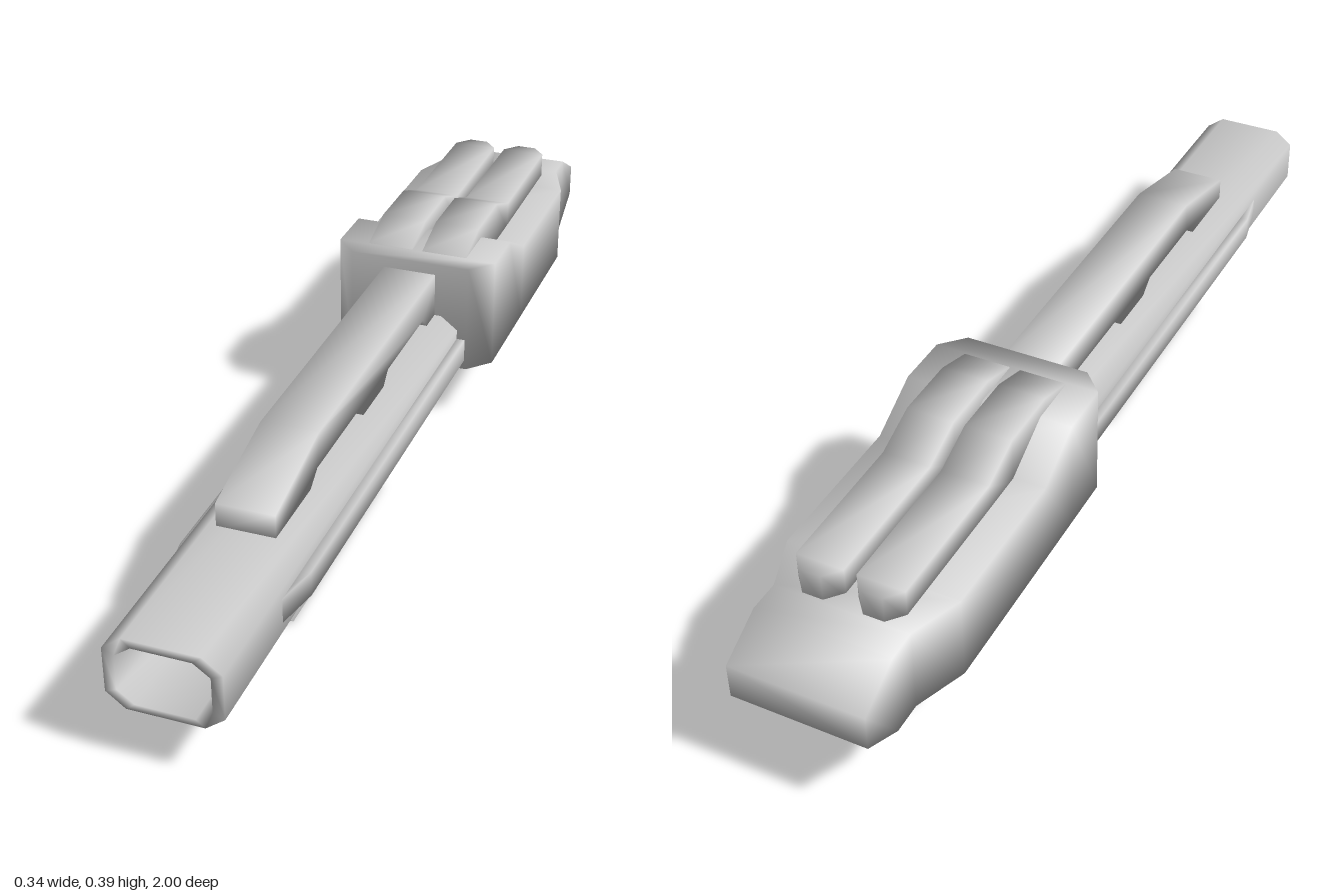
import * as THREE from 'three';
import { mergeVertices } from 'three/addons/utils/BufferGeometryUtils.js';

const material = new THREE.MeshStandardMaterial({ color: 0xcccccc });

function addMesh(group, geometry, name) {
  const mesh = new THREE.Mesh(geometry, material);
  mesh.name = name;
  group.add(mesh);
}

// Skin over rings of points (counter-clockwise seen from +z), capped at both ends
function loft(rings) {
  const n = rings[0].length, index = [];
  for (let i = 0; i < rings.length - 1; i++) {
    for (let j = 0; j < n; j++) {
      const k = (j + 1) % n, a = i * n, b = a + n;
      index.push(a + j, a + k, b + k, a + j, b + k, b + j);
    }
  }
  const last = (rings.length - 1) * n;
  for (let j = 1; j < n - 1; j++) {
    index.push(0, j + 1, j, last, last + j, last + j + 1);
  }
  const geometry = new THREE.BufferGeometry();
  geometry.setAttribute('position', new THREE.Float32BufferAttribute(rings.flat(2), 3));
  geometry.setIndex(index);
  geometry.computeVertexNormals();
  return geometry;
}

const rect = (z, x0, x1, y0, y1) => [[x0, y0, z], [x1, y0, z], [x1, y1, z], [x0, y1, z]];

const octagon = (z, w, y0, y1, cx, cy) => [
  [w - cx, y0, z], [w, y0 + cy, z], [w, y1 - cy, z], [w - cx, y1, z],
  [cx - w, y1, z], [-w, y1 - cy, z], [-w, y0 + cy, z], [cx - w, y0, z],
];

// Side outline of [z, y] points, given a thickness across x, with soft normals
function plate(points, thickness, x = 0) {
  const shape = new THREE.Shape(points.map(([z, y]) => new THREE.Vector2(z, y)));
  let geometry = new THREE.ExtrudeGeometry(shape, { depth: thickness, bevelEnabled: false });
  geometry.translate(0, 0, -thickness / 2).rotateY(-Math.PI / 2).translate(x, 0, 0);
  geometry.deleteAttribute('normal');
  geometry.deleteAttribute('uv');
  geometry = mergeVertices(geometry, 1e-4);
  geometry.computeVertexNormals();
  return geometry;
}

export function createModel() {
  const group = new THREE.Group();

  // Octagonal barrel with a hollow front
  addMesh(group, loft([
    octagon(-0.22, 0.104, 0.105, 0.245, 0.035, 0.027),
    octagon(1, 0.104, 0.105, 0.245, 0.035, 0.027),
    octagon(1, 0.083, 0.118, 0.23, 0.03, 0.022),
    octagon(0.7, 0.083, 0.118, 0.23, 0.03, 0.022),
  ]), 'barrel');

  // Rear housing, tapering to the back
  addMesh(group, loft([
    [-1, 0.13, 0.18, 0.25],
    [-0.91, 0.13, 0.13, 0.3],
    [-0.85, 0.13, 0.13, 0.3],
    [-0.75, 0.168, 0.13, 0.3],
    [-0.44, 0.168, 0.13, 0.3],
    [-0.33, 0.168, 0.13, 0.36],
    [-0.22, 0.168, 0.13, 0.36],
    [-0.175, 0.125, 0.13, 0.36],
  ].map(([z, w, y0, y1]) => rect(z, -w, w, y0, y1))), 'housing');

  // Top rail with two gaps beneath it
  addMesh(group, plate([
    [0.67, 0.24], [0.67, 0.29], [0.47, 0.337], [-0.2, 0.337], [-0.2, 0.24],
    [-0.13, 0.24], [-0.1, 0.27], [0.11, 0.27], [0.14, 0.24], [0.24, 0.24],
    [0.28, 0.27], [0.48, 0.27], [0.52, 0.24],
  ], 0.11), 'topRail');

  // Shallow block under the barrel
  addMesh(group, plate([
    [0.22, 0.11], [0.16, 0.088], [0, 0.08], [-0.2, 0.08], [-0.2, 0.11],
  ], 0.112), 'lowerBlock');

  for (const [side, s] of [['left', 1], ['right', -1]]) {
    // Rounded pods on top of the housing
    const pod = [
      [-0.845, 0.02, 0.352],
      [-0.815, 0.046, 0.352],
      [-0.53, 0.047, 0.352],
      [-0.44, 0.047, 0.388],
      [-0.31, 0.047, 0.388],
      [-0.225, 0.047, 0.362],
    ];
    addMesh(group, loft(pod.map(([z, w, y]) =>
      rect(z, s * 0.058 - w, s * 0.058 + w, 0.29, y))), side + 'Pod');

    // Side rails tapering into the barrel
    addMesh(group, loft([[-0.2, 0.121], [0.68, 0.121], [0.77, 0.103]].map(([z, x]) =>
      rect(z, Math.min(s * 0.09, s * x), Math.max(s * 0.09, s * x), 0.15, 0.198))), side + 'Rail');

    // Thin fins under the barrel
    addMesh(group, plate([
      [0.65, 0.115], [0.65, 0.078], [0.58, 0.002], [0.11, 0.002],
      [0.08, 0.07], [-0.01, 0.07], [-0.02, 0.115],
    ], 0.011, s * 0.038), side + 'Fin');
  }

  return group;
}
